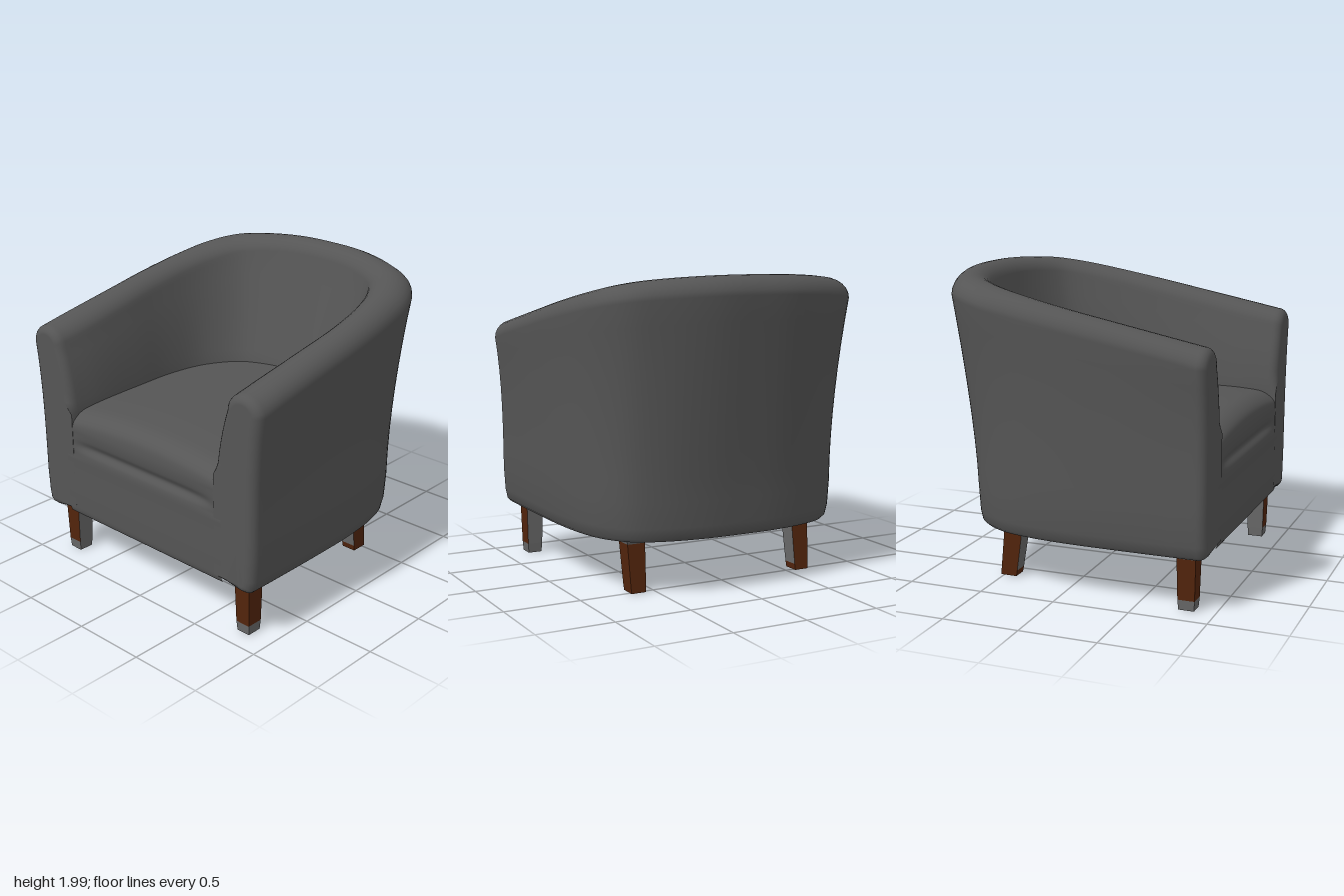
import * as THREE from 'three';

const material = (name, color) => {
  const m = new THREE.MeshStandardMaterial({ color });
  m.name = name;
  return m;
};
const V = (x, y, z) => new THREE.Vector3(x, y, z);

// Smooth skin over rows of points, all rows the same length
function skin(rows) {
  const n = rows[0].length, index = [];
  for (let i = 0; i < rows.length - 1; i++) {
    for (let j = 0; j < n - 1; j++) {
      const a = i * n + j, b = a + n;
      index.push(a, b, a + 1, b, b + 1, a + 1);
    }
  }
  const g = new THREE.BufferGeometry().setFromPoints(rows.flat());
  g.setIndex(index);
  g.computeVertexNormals();
  return g;
}

// Half plan, from the left arm front to the middle of the back:
// outer top x z, outer base x z, inner edge at the seat x z
const PLAN = [
  [1.0, 0.905, 0.955, 0.905, 0.64, 0.905],
  [0.998, 0.75, 0.955, 0.75, 0.635, 0.7],
  [0.988, 0.35, 0.955, 0.35, 0.65, 0.35],
  [0.98, 0.0, 0.945, 0.0, 0.655, 0.05],
  [0.95, -0.33, 0.91, -0.28, 0.61, -0.18],
  [0.9, -0.57, 0.85, -0.47, 0.52, -0.32],
  [0.78, -0.76, 0.73, -0.63, 0.41, -0.41],
  [0.58, -0.87, 0.54, -0.72, 0.3, -0.445],
  [0.28, -0.955, 0.27, -0.775, 0.15, -0.475],
  [0, -0.97, 0, -0.785, 0, -0.49],
];

// Curve through one column pair of the plan, mirrored to the right side
function planCurve(c) {
  const half = PLAN.map((p) => V(p[c], 0, p[c + 1]));
  const other = half.slice(0, -1).reverse().map((p) => V(-p.x, 0, p.z));
  return new THREE.CatmullRomCurve3([...half, ...other]);
}

// Cross-section of the wall: underside, outer face, rolled crest, inner face
function section(outer, base, inner, back) {
  const rim = outer.clone().lerp(inner, 0.75 - 0.25 * back);
  const h = 1.82 - 0.1 * (outer.z + rim.z);
  const shoulder = h - 0.12;
  const at = (p, y) => V(p.x, y, p.z);
  const mid = base.clone().lerp(inner, 0.5);
  const inset = (d) => base.clone().add(mid.clone().sub(base).setLength(d));
  const under = at(inset(0.1), 0.345);
  const pts = [V(0, 0.345, under.z), under, at(inset(0.05), 0.352),
    at(inset(0.025), 0.375), at(inset(0.01), 0.44), at(base, 0.6)];
  for (let k = 1; k <= 7; k++) {
    const t = k / 8;
    pts.push(at(base.clone().lerp(outer, t ** (3 - 1.9 * back)), 0.6 + t * (shoulder - 0.6)));
  }
  for (let k = 0; k <= 12; k++) {
    const a = (k / 12) * Math.PI;
    pts.push(at(outer.clone().lerp(rim, (1 - Math.cos(a)) / 2), shoulder + 0.12 * Math.sin(a)));
  }
  for (let k = 1; k <= 6; k++) {
    const t = k / 6;
    const ease = t + (1 - back) * 0.6 * t * (1 - t);
    pts.push(at(rim.clone().lerp(inner, ease), shoulder + t * (1.08 - shoulder)));
  }
  pts.push(at(inner, 0.8), at(inner, 0.4), under.clone());
  return pts;
}

// Rounded arm front: rings drawn inwards, closed by a centre point
function armFront(ring) {
  const side = Math.sign(ring[1].x), r = 0.06, rows = [];
  for (let k = 1; k <= 5; k++) {
    const a = (k / 5) * Math.PI / 2, d = r * (1 - Math.cos(a));
    const row = ring.map((p) => {
      const q = p.clone();
      if (!(p.y < 1.1 && Math.abs(p.x) < 0.7)) {
        const core = V(0.82 * side, THREE.MathUtils.clamp(p.y, 0.45, 1.5), p.z);
        q.add(core.sub(p).setLength(d));
      }
      q.z += r * Math.sin(a);
      return q;
    });
    row[0] = row[1].clone();
    rows.push(row);
  }
  rows.push(ring.map(() => V(0.8 * side, 1.0, 0.965)));
  return rows;
}

function wallGeometry() {
  const [outer, base, inner] = [0, 2, 4].map(planCurve);
  const rows = [], N = 90;
  for (let i = 0; i <= N; i++) {
    const t = i / N;
    const back = THREE.MathUtils.smoothstep(1 - Math.abs(2 * t - 1), 0.3, 0.85);
    rows.push(section(outer.getPoint(t), base.getPoint(t), inner.getPoint(t), back));
  }
  return skin([...armFront(rows[0]).reverse(), ...rows, ...armFront(rows[N])]);
}

// Front panel, crease and crowned cushion as one side profile carried across
function seatGeometry() {
  const profile = new THREE.CatmullRomCurve3([
    [0.5, 0.345], [0.92, 0.345], [0.955, 0.37], [0.964, 0.45], [0.964, 0.7], [0.962, 0.82],
    [0.935, 0.87], [0.955, 0.92], [0.962, 1.0], [0.945, 1.07], [0.88, 1.12], [0.75, 1.14],
    [0.3, 1.145], [-0.55, 1.14],
  ].map(([z, y]) => V(0, y, z))).getPoints(78);
  const rows = [];
  for (let i = 0; i <= 28; i++) {
    const x = -0.7 + i * 0.05, s = x / 0.64;
    rows.push(profile.map((p) => {
      const crown = THREE.MathUtils.smoothstep(p.y, 0.95, 1.1) * 0.04 * s * s;
      const fill = Math.abs(p.y - 0.87) < 0.08 ? Math.min(1, s ** 6) : 0;
      return V(x, p.y - crown, THREE.MathUtils.lerp(p.z, 0.962, fill));
    }));
  }
  return skin(rows);
}

// Leg slice between two heights; ends are [x, z, width, depth]
function legSlice(y0, y1, low, high) {
  const g = new THREE.BoxGeometry(1, 1, 1), p = g.attributes.position;
  for (let i = 0; i < p.count; i++) {
    const [x, z, w, d] = p.getY(i) < 0 ? low : high;
    p.setXYZ(i, x + p.getX(i) * w, p.getY(i) < 0 ? y0 : y1, z + p.getZ(i) * d);
  }
  g.computeVertexNormals();
  return g;
}

export function createModel() {
  const fabric = material('charcoal fabric', 0x555555);
  const grey = material('grey leg', 0x686868);
  const wood = material('brown wood', 0x52240c);
  const model = new THREE.Group();
  model.name = 'armchair';
  const add = (parent, name, geometry, mat) => {
    const mesh = new THREE.Mesh(geometry, mat);
    mesh.name = name;
    parent.add(mesh);
  };

  add(model, 'armsAndBack', wallGeometry(), fabric);
  add(model, 'seat', seatGeometry(), fabric);

  // Legs: wood on the faces turned outwards, grey on the inner faces
  for (const side of [1, -1]) {
    const faces = (out, inn, front, rear) => [
      side > 0 ? out : inn, side > 0 ? inn : out, grey, wood, front, rear];
    const label = side > 0 ? 'Left' : 'Right';
    const slice = (leg, name, y0, y1, a, b, mats) => add(leg, name,
      legSlice(y0, y1, [a[0] * side, ...a.slice(1)], [b[0] * side, ...b.slice(1)]), mats);

    const front = new THREE.Group();
    front.name = 'front' + label + 'Leg';
    slice(front, 'tip', 0, 0.065, [0.79, 0.815, 0.095, 0.1], [0.79, 0.815, 0.104, 0.11],
      faces(grey, grey, grey, grey));
    slice(front, 'shaft', 0.065, 0.33, [0.79, 0.815, 0.104, 0.11], [0.79, 0.815, 0.118, 0.122],
      faces(wood, grey, wood, grey));
    slice(front, 'collar', 0.33, 0.36, [0.79, 0.815, 0.118, 0.122], [0.79, 0.815, 0.15, 0.16], grey);

    const rear = new THREE.Group();
    rear.name = 'back' + label + 'Leg';
    slice(rear, 'tip', 0, 0.04, [0.61, -0.468, 0.1, 0.11], [0.61, -0.462, 0.105, 0.113],
      faces(wood, wood, wood, wood));
    slice(rear, 'shaft', 0.04, 0.31, [0.61, -0.462, 0.105, 0.113], [0.61, -0.427, 0.122, 0.125],
      faces(wood, grey, grey, wood));
    slice(rear, 'collar', 0.31, 0.36, [0.61, -0.427, 0.122, 0.125], [0.61, -0.425, 0.16, 0.18], grey);
    model.add(front, rear);
  }
  return model;
}
